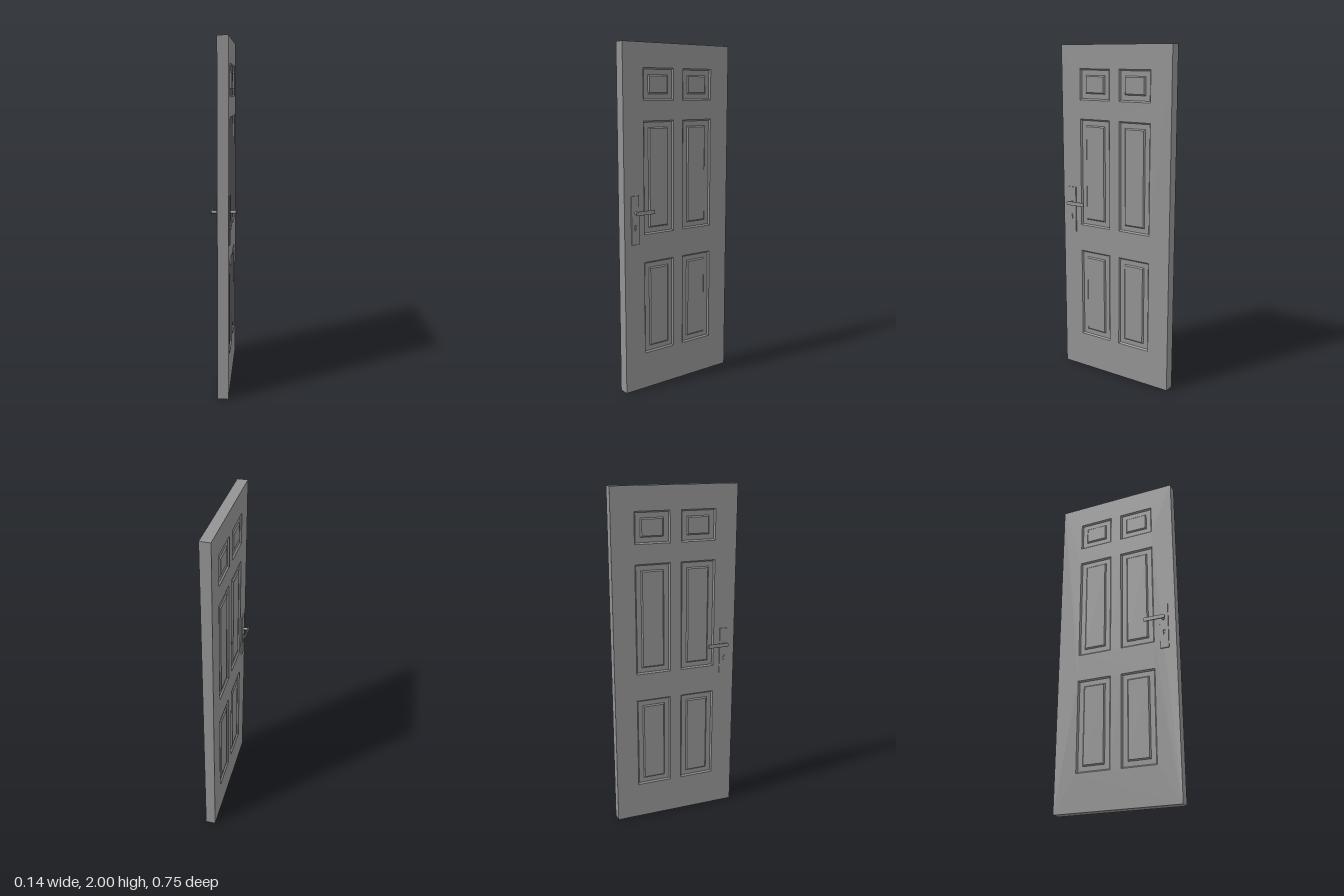
import * as THREE from 'three';

const HALF_THICK = 0.03, HALF_WIDTH = 0.377, HEIGHT = 2;
const GREY = 0x939393;
const material = new THREE.MeshStandardMaterial({ color: GREY, side: THREE.DoubleSide });
const flat = new THREE.MeshStandardMaterial({ color: GREY, flatShading: true });

// Panel openings: centre and half sizes across the door and up it
const openings = [];
for (const [low, high] of [[0.217, 0.767], [0.93, 1.574], [1.685, 1.864]]) {
  for (const s of [-1, 1]) {
    openings.push({ u: s * 0.138, v: (low + high) / 2, hu: 0.105, hv: (high - low) / 2 });
  }
}

function mesh(name, geometry, mat = material) {
  const m = new THREE.Mesh(geometry, mat);
  m.name = name;
  return m;
}

function rectangle(Type, u0, u1, v0, v1) {
  const r = new Type();
  r.moveTo(u0, v0);
  r.lineTo(u1, v0);
  r.lineTo(u1, v1);
  r.lineTo(u0, v1);
  r.closePath();
  return r;
}

// Extruded shape from z = 0 to depth, its rims eased inwards by "bevel"
function slab(shape, depth, bevel = 0) {
  return new THREE.ExtrudeGeometry(shape, {
    depth: depth - 2 * bevel, curveSegments: 12, bevelEnabled: bevel > 0,
    bevelThickness: bevel, bevelSize: bevel, bevelOffset: -bevel, bevelSegments: 2,
  }).translate(0, 0, bevel);
}

// Sunken moulding that slopes back up to a raised field, from nested rectangles
function panelGeometry({ u, v, hu, hv }) {
  const rings = [[0, 0.03], [0.008, 0.021], [0.037, 0.021], [0.044, 0.028]];
  const corners = [[-1, -1], [1, -1], [1, 1], [-1, 1]];
  const points = [], index = [];
  rings.forEach(([inset, z], r) => {
    for (const [a, b] of corners) points.push(u + a * (hu - inset), v + b * (hv - inset), z);
    if (r === 0) return;
    for (let i = 0; i < 4; i++) {
      const j = (i + 1) % 4, o = (r - 1) * 4;
      index.push(o + i, o + j, o + 4 + j, o + i, o + 4 + j, o + 4 + i);
    }
  });
  const last = (rings.length - 1) * 4;
  index.push(last, last + 1, last + 2, last, last + 2, last + 3);
  const g = new THREE.BufferGeometry();
  g.setAttribute('position', new THREE.Float32BufferAttribute(points, 3));
  g.setIndex(index);
  const out = g.toNonIndexed();
  out.computeVertexNormals();
  return out;
}

// Plate, keyhole, spindle and lever; the lever points along local x by "dir"
function buildHandle(dir) {
  const handle = new THREE.Group();
  handle.name = 'handle';

  const plateShape = rectangle(THREE.Shape, -0.026, 0.026, 0.88, 1.16);
  const keyhole = new THREE.Path();
  keyhole.moveTo(-0.003, 0.962);
  keyhole.lineTo(0.003, 0.962);
  keyhole.lineTo(0.003, 0.98);
  keyhole.absarc(0, 0.986, 0.0067, -1.107, Math.PI + 1.107, false);
  keyhole.closePath();
  const plate = mesh('handlePlate', slab(plateShape, 0.007, 0.001));
  plate.position.z = HALF_THICK;

  const spindle = mesh('handleSpindle', new THREE.CylinderGeometry(0.0085, 0.0085, 0.034, 24));
  spindle.rotation.x = Math.PI / 2;
  spindle.position.set(dir * 0.002, 1.064, 0.051);

  // Flat bar with a rounded end around the spindle
  const r = 0.0118;
  const bar = new THREE.Shape();
  bar.moveTo(0.112, -r);
  bar.lineTo(0.112, r);
  bar.lineTo(-0.007, r);
  bar.absarc(-0.007, 0, r, Math.PI / 2, Math.PI * 1.5, false);
  bar.closePath();
  const lever = mesh('handleLever', slab(bar, 0.0065, 0.0015));
  lever.position.set(0, 1.064, 0.065);
  if (dir < 0) {
    lever.rotation.y = Math.PI;
    lever.position.z += 0.0065;
  }

  plateShape.holes.push(keyhole);
  plate.geometry = slab(plateShape, 0.007, 0.001);
  handle.add(plate, spindle, lever);
  return handle;
}

export function createModel() {
  const door = new THREE.Group();
  door.name = 'door';

  // Stiles and rails in one piece, with openings for the panels
  const outline = rectangle(THREE.Shape, -HALF_WIDTH, HALF_WIDTH, 0, HEIGHT);
  for (const { u, v, hu, hv } of openings) {
    outline.holes.push(rectangle(THREE.Path, u - hu, u + hu, v - hv, v + hv));
  }
  const frame = mesh('doorFrame', slab(outline, HALF_THICK * 2), flat);
  frame.rotation.y = Math.PI / 2;
  frame.position.x = -HALF_THICK;
  door.add(frame);

  // Panels and handle on both faces
  for (const side of [1, -1]) {
    const face = new THREE.Group();
    face.name = side > 0 ? 'leftFace' : 'rightFace';
    face.rotation.y = side * Math.PI / 2;
    for (const o of openings) face.add(mesh('panel', panelGeometry(o)));
    const handle = buildHandle(side);
    handle.position.x = -side * 0.307;
    face.add(handle);
    door.add(face);
  }
  return door;
}
